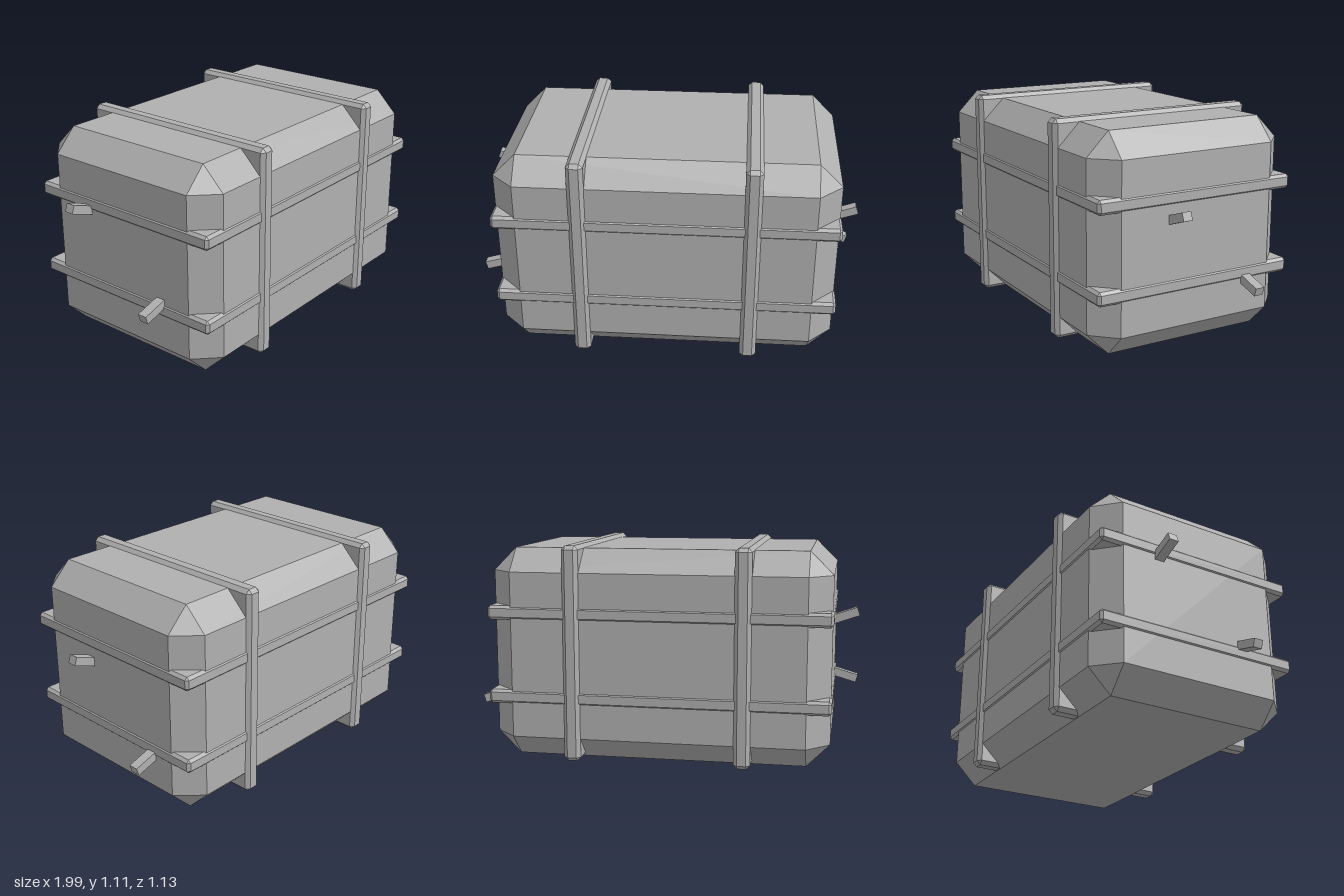
import * as THREE from 'three';
import { ConvexGeometry } from 'three/addons/geometries/ConvexGeometry.js';

const grey = new THREE.MeshStandardMaterial({ color: 0xb0b0b0 });
grey.name = 'bale grey';

// Box of half sizes a, b, c whose edges and corners are cut back by the chamfer
function chamferBox(a, b, c, chamfer) {
  const points = [];
  for (const x of [-1, 1]) for (const y of [-1, 1]) for (const z of [-1, 1]) {
    const i = a - chamfer, j = b - chamfer, k = c - chamfer;
    points.push(
      new THREE.Vector3(x * a, y * j, z * k),
      new THREE.Vector3(x * i, y * b, z * k),
      new THREE.Vector3(x * i, y * j, z * c)
    );
  }
  return new ConvexGeometry(points);
}

export function createModel() {
  const model = new THREE.Group();
  model.name = 'strappedBale';

  function add(name, geometry, x, y, z) {
    const mesh = new THREE.Mesh(geometry, grey);
    mesh.name = name;
    mesh.position.set(x, y, z);
    model.add(mesh);
    return mesh;
  }

  // Main block
  add('baleBody', chamferBox(0.868, 0.544, 0.544, 0.118), 0, 0.544, 0);

  // Upright bands running over the block
  const upright = chamferBox(0.043, 0.552, 0.563, 0.02);
  for (const x of [-0.435, 0.435]) add('uprightBand', upright, x, 0.555, 0);

  // Level bands running round the block
  const level = chamferBox(0.874, 0.036, 0.55, 0.014);
  for (const y of [0.327, 0.762]) add('levelBand', level, 0, y, 0);

  // Stubs poking out of the ends: outer end x, y, z and slope
  const length = 0.25;
  const stub = new THREE.BoxGeometry(length, 0.044, 0.05);
  const ends = [
    [0.981, 0.698, 0.142, 0.34],
    [0.987, 0.258, -0.291, -0.3],
    [-0.99, 0.772, -0.223, 0.34],
    [-0.992, 0.329, 0.247, -0.28]
  ];
  for (const [x, y, z, slope] of ends) {
    const side = Math.sign(x);
    const mesh = add('endStub', stub,
      x - side * Math.cos(slope) * length / 2,
      y - Math.sin(slope) * length / 2, z);
    mesh.rotation.z = side * slope;
  }
  return model;
}
